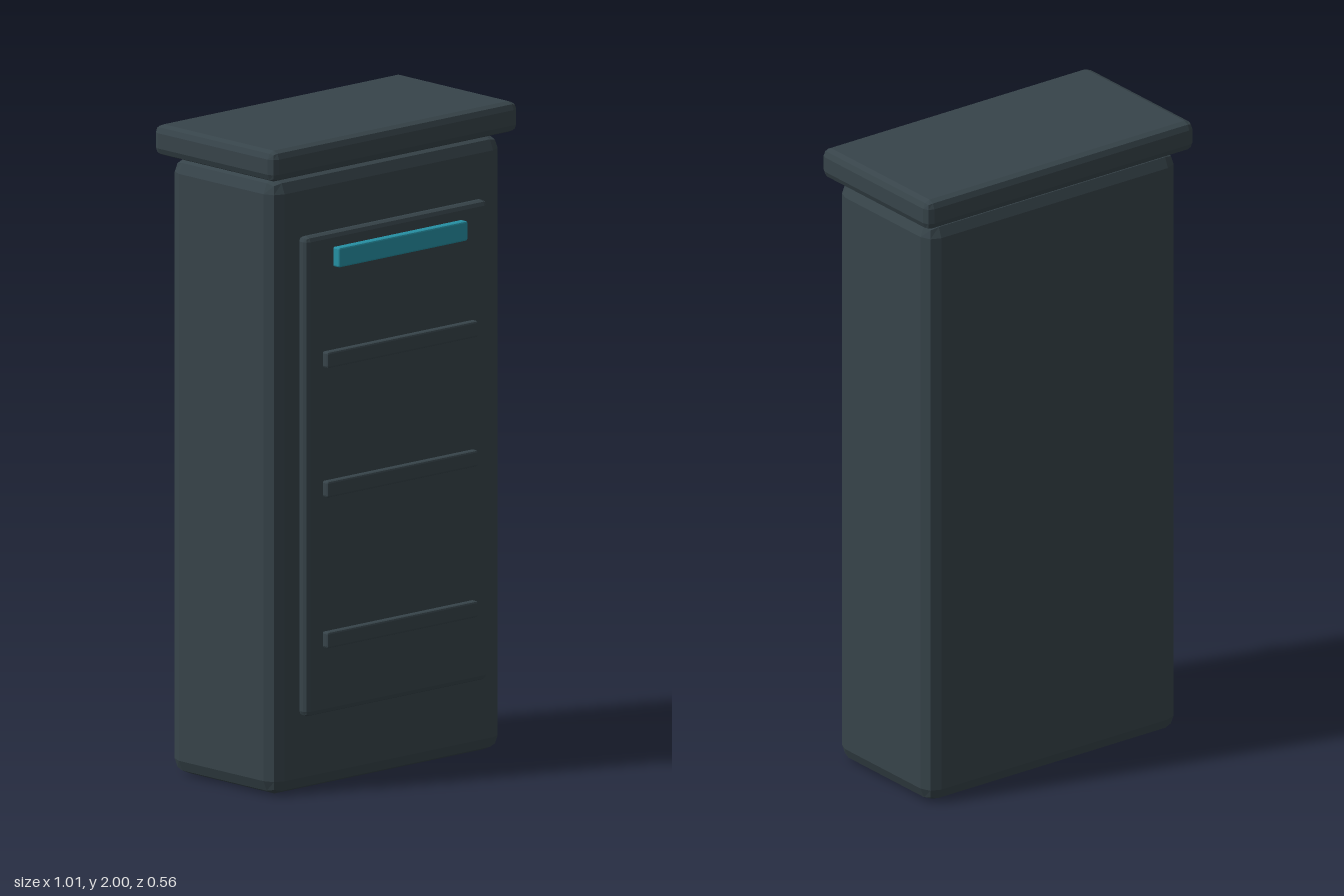
import * as THREE from 'three';
import { RoundedBoxGeometry } from 'three/addons/geometries/RoundedBoxGeometry.js';

const dark = new THREE.MeshStandardMaterial({ color: 0x37444a, flatShading: true });
const teal = new THREE.MeshStandardMaterial({ color: 0x2690a4, flatShading: true });

// Bevelled box given by its [min, max] extents; x is symmetric.
function bevelBox(name, halfX, [y0, y1], [z0, z1], bevel, material = dark) {
  const geometry = new RoundedBoxGeometry(2 * halfX, y1 - y0, z1 - z0, 1, bevel);
  const mesh = new THREE.Mesh(geometry, material);
  mesh.position.set(0, (y0 + y1) / 2, (z0 + z1) / 2);
  mesh.name = name;
  return mesh;
}

export function createModel() {
  const model = new THREE.Group();
  model.name = 'cabinet';

  // Main housing and overhanging lid
  model.add(bevelBox('body', 0.474, [0, 1.9], [-0.246, 0.216], 0.045));
  model.add(bevelBox('lid', 0.507, [1.905, 2], [-0.281, 0.249], 0.024));

  // Raised front door
  model.add(bevelBox('door', 0.374, [0.238, 1.718], [0.212, 0.254], 0.016));

  // Horizontal slats on the door
  for (const y of [0.47, 0.935, 1.334]) {
    model.add(bevelBox('slat', 0.31, [y - 0.025, y + 0.025], [0.253, 0.28], 0.006));
  }

  // Coloured light strip
  model.add(bevelBox('lightStrip', 0.265, [1.613, 1.674], [0.252, 0.281], 0.005, teal));

  return model;
}
